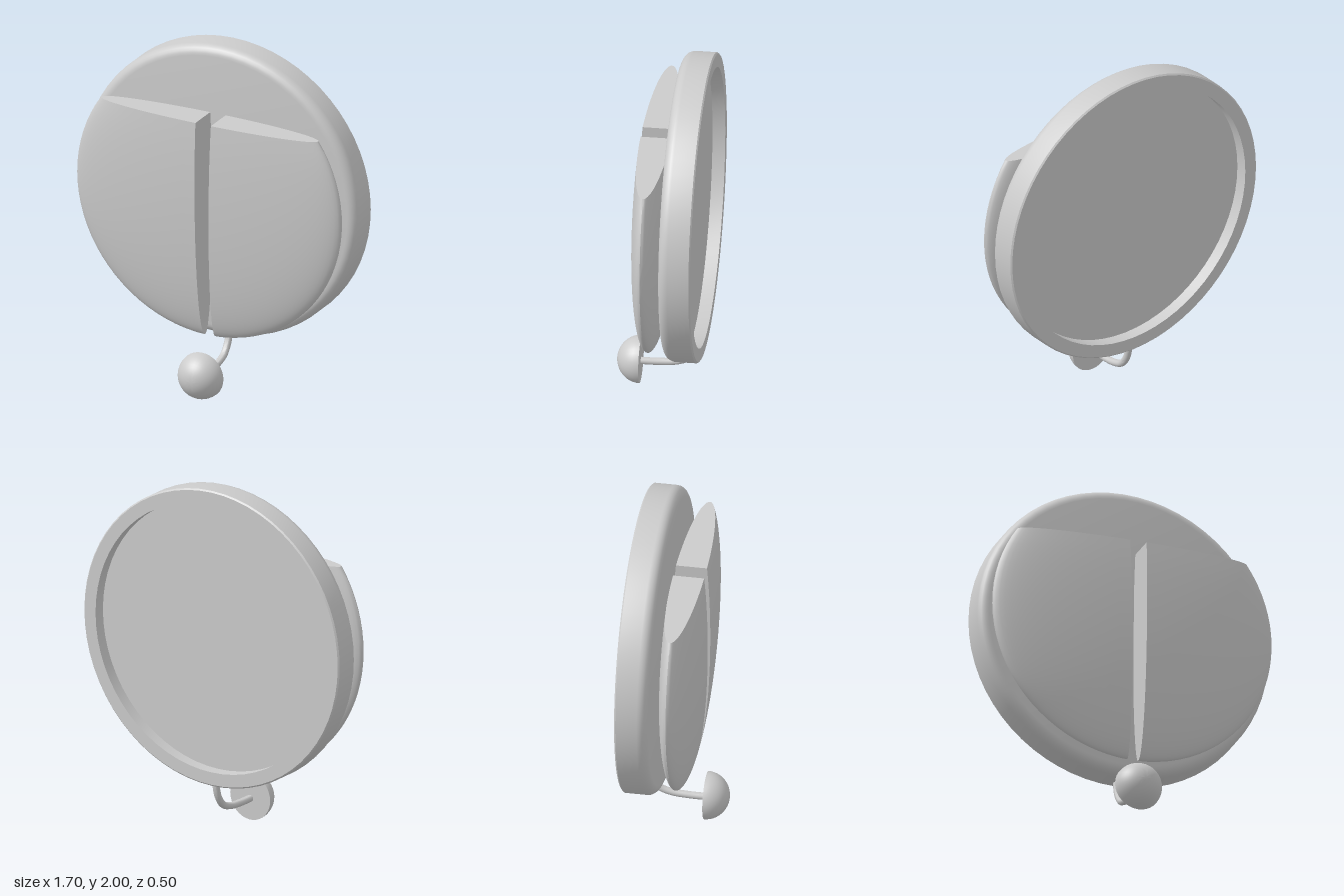
import * as THREE from 'three';
import { toCreasedNormals } from 'three/addons/utils/BufferGeometryUtils.js';

const material = new THREE.MeshStandardMaterial({ color: 0xcccccc });

function addPart(group, name, geometry, crease = 0.6) {
  const mesh = new THREE.Mesh(toCreasedNormals(geometry, crease), material);
  mesh.name = name;
  group.add(mesh);
  return mesh;
}

// Round plate, rounded at the front and recessed at the back
function plateGeometry() {
  const p = [[0, -0.18], [0.77, -0.18], [0.77, -0.25], [0.842, -0.25], [0.85, -0.242]];
  for (let i = 0; i <= 6; i++) {
    const a = (i / 6) * Math.PI / 2;
    p.push([0.795 + 0.055 * Math.cos(a), -0.125 + 0.055 * Math.sin(a)]);
  }
  p.push([0, -0.07]);
  const g = new THREE.LatheGeometry(p.map(([x, y]) => new THREE.Vector2(x, y)), 64);
  return g.rotateX(Math.PI / 2).translate(0, 1.15, 0);
}

// Half of a flattened ellipsoid, cut flat at the top and along the centre gap
function wingGeometry(side, gapBottom, gapTop) {
  const R = 0.815, depth = 0.105, cy = 1.155, cz = 0.03, top = 1.62;
  const rows = 28, cols = 32;
  const phi0 = -Math.acos(gapBottom / R), phi1 = Math.asin((top - cy) / R);
  const pos = [], idx = [];
  for (let j = 0; j <= rows; j++) {
    const phi = phi0 + (phi1 - phi0) * j / rows;
    const r = R * Math.cos(phi);
    const gap = gapBottom + (gapTop - gapBottom) * j / rows;
    const end = Math.acos(Math.min(1, gap / r));
    for (let i = 0; i <= cols; i++) {
      const a = end * (1 - 2 * i / cols);
      pos.push(side * r * Math.cos(a), cy + R * Math.sin(phi), cz + depth * Math.cos(phi) * Math.sin(a));
    }
  }
  const tri = (a, b, c) => (side > 0 ? idx.push(a, b, c) : idx.push(a, c, b));
  const n = cols + 1;
  for (let j = 0; j < rows; j++) {
    for (let i = 0; i < n; i++) {
      // the last column closes the flat wall beside the gap
      const a = j * n + i, b = j * n + (i + 1) % n;
      tri(a, b, b + n);
      tri(a, b + n, a + n);
    }
  }
  // flat top
  const t = rows * n;
  for (let i = 1; i < cols; i++) tri(t, t + i, t + i + 1);
  const g = new THREE.BufferGeometry();
  g.setAttribute('position', new THREE.Float32BufferAttribute(pos, 3));
  g.setIndex(idx);
  return g;
}

// Half ball with a flat back
function knobGeometry() {
  const p = [new THREE.Vector2(0, 0)];
  for (let i = 0; i <= 12; i++) {
    const a = (i / 12) * Math.PI / 2;
    p.push(new THREE.Vector2(0.133 * Math.cos(a), 0.13 * Math.sin(a)));
  }
  return new THREE.LatheGeometry(p, 32).rotateX(Math.PI / 2).translate(0, 0.137, 0.12);
}

export function createModel() {
  const group = new THREE.Group();
  group.name = 'roundPlateWithWings';

  addPart(group, 'plate', plateGeometry());
  addPart(group, 'leftWing', wingGeometry(1, 0.037, 0.053));
  addPart(group, 'rightWing', wingGeometry(-1, 0.027, 0.042));
  addPart(group, 'knob', knobGeometry());

  // Bent rod from the plate's lower rim to the knob
  const path = new THREE.CatmullRomCurve3([
    [0.34, -0.205], [0.29, -0.203], [0.225, -0.185], [0.165, -0.14],
    [0.138, -0.07], [0.129, 0.02], [0.127, 0.13],
  ].map(([y, z]) => new THREE.Vector3(0, y, z)));
  addPart(group, 'stem', new THREE.TubeGeometry(path, 32, 0.02, 12), 1);

  return group;
}
